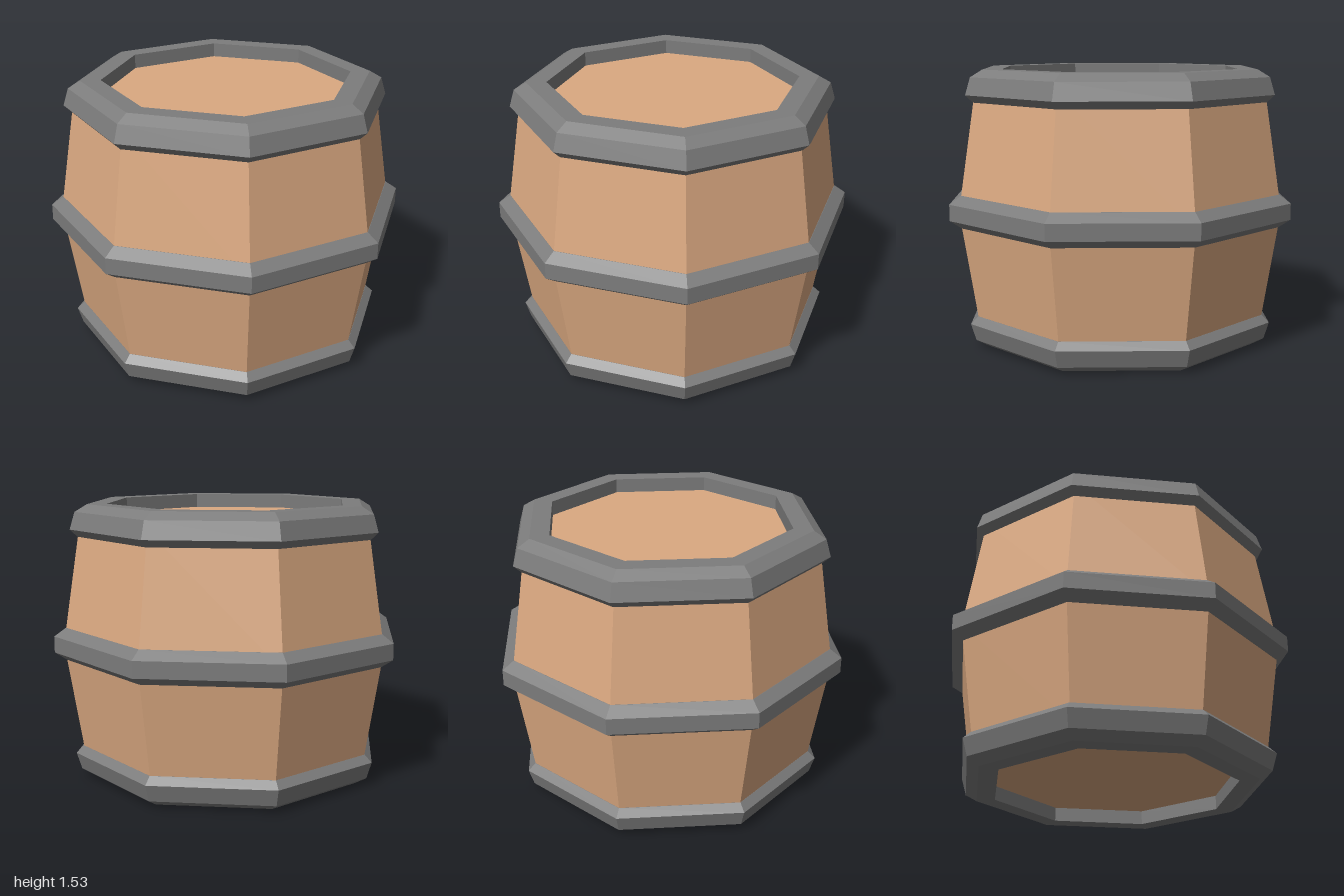
import * as THREE from 'three';

const SIDES = 8;
const HEIGHT = 1.535;
const RECESS = 0.08;

const wood = new THREE.MeshStandardMaterial({ color: 0xdba981, flatShading: true });
const iron = new THREE.MeshStandardMaterial({ color: 0x7c7c7c, flatShading: true });

// Eight-sided turned part from [radius, y] pairs, outer side listed upward
function turned(name, profile, material) {
  const points = profile.map(([r, y]) => new THREE.Vector2(r, y));
  const mesh = new THREE.Mesh(new THREE.LatheGeometry(points, SIDES), material);
  mesh.name = name;
  return mesh;
}

// Flat end panel, facing up or down
function endPanel(name, y, up) {
  const geometry = new THREE.CircleGeometry(0.69, SIDES);
  geometry.rotateX(up ? -Math.PI / 2 : Math.PI / 2);
  geometry.translate(0, y, 0);
  const mesh = new THREE.Mesh(geometry, wood);
  mesh.name = name;
  return mesh;
}

export function createModel() {
  const barrel = new THREE.Group();
  barrel.name = 'barrel';

  // Bulging wooden sides
  barrel.add(turned('staves', [[0.84, 0.09], [0.947, 0.77], [0.84, HEIGHT - 0.09]], wood));

  // Recessed ends
  barrel.add(endPanel('lid', HEIGHT - RECESS, true));
  barrel.add(endPanel('bottom', RECESS, false));

  // Rim profile for the top; the bottom one is its mirror image
  const rim = [
    [0.69, HEIGHT - RECESS], [0.84, 1.36], [0.855, 1.36], [0.897, 1.4],
    [0.868, 1.495], [0.8, HEIGHT], [0.69, HEIGHT], [0.69, HEIGHT - RECESS],
  ];
  barrel.add(turned('topRim', rim, iron));
  const mirrored = rim.map(([r, y]) => [r, HEIGHT - y]).reverse();
  barrel.add(turned('bottomRim', mirrored, iron));

  // Bevelled hoop around the middle
  barrel.add(turned('middleHoop', [
    [0.92, 0.68], [0.935, 0.68], [1, 0.725], [1, 0.815], [0.935, 0.86], [0.92, 0.86], [0.92, 0.68],
  ], iron));

  return barrel;
}
